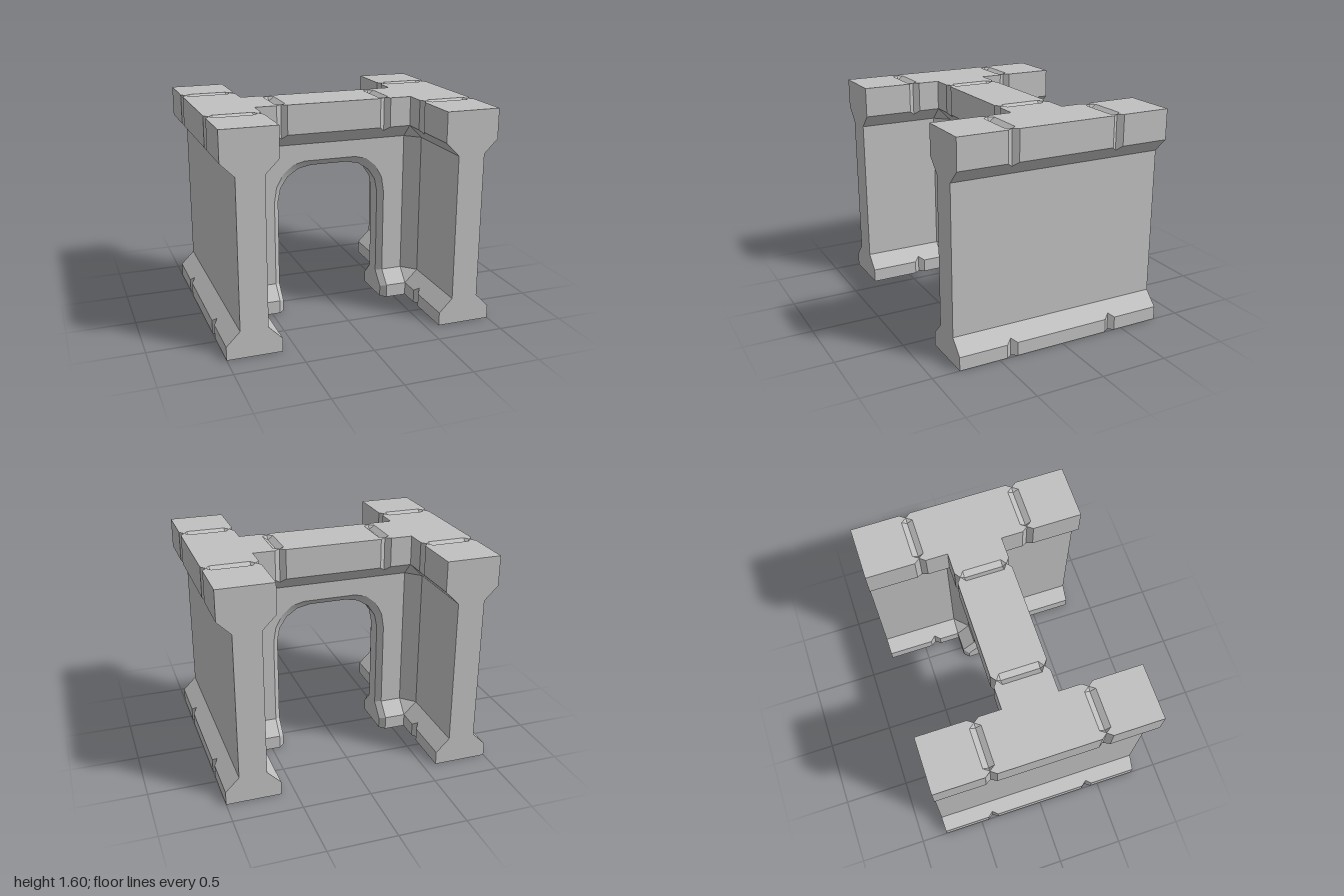
import * as THREE from 'three';
import { toCreasedNormals } from 'three/addons/utils/BufferGeometryUtils.js';

const V = (x, y, z) => new THREE.Vector3(x, y, z);
const NOTCH = 0.03, HALF = 0.04; // depth and half width of the V joints

export function createModel() {
  const group = new THREE.Group();
  const stone = new THREE.MeshStandardMaterial({ color: 0xc0c0c0, side: THREE.DoubleSide });
  stone.name = 'stone grey';

  // Each part is made for the +x +z quarter and mirrored to the other three
  function part(name, build) {
    const pos = [];
    const tri = (a, b, c, facing) => {
      const n = b.clone().sub(a).cross(c.clone().sub(a));
      if (n.length() < 1e-9) return;
      if (facing && n.dot(facing) < 0) [b, c] = [c, b];
      for (const sx of [1, -1]) for (const sz of [1, -1]) {
        const order = sx * sz > 0 ? [a, b, c] : [a, c, b];
        for (const p of order) pos.push(p.x * sx, p.y, p.z * sz);
      }
    };
    const quad = (a, b, c, d, facing) => { tri(a, b, c, facing); tri(a, c, d, facing); };
    const flat = (outline, holes, place, facing) => {
      const to2 = (l) => l.map(([x, y]) => new THREE.Vector2(x, y));
      let contour = to2(outline);
      if (THREE.ShapeUtils.isClockWise(contour)) contour.reverse();
      const cut = holes.map((h) => {
        const l = to2(h);
        return THREE.ShapeUtils.isClockWise(l) ? l : l.reverse();
      });
      const all = [contour, ...cut].flat().map((p) => place(p.x, p.y));
      for (const [i, j, k] of THREE.ShapeUtils.triangulateShape(contour, cut)) tri(all[i], all[j], all[k], facing);
    };
    build({ tri, quad, flat });
    const geo = new THREE.BufferGeometry();
    geo.setAttribute('position', new THREE.Float32BufferAttribute(pos, 3));
    const mesh = new THREE.Mesh(toCreasedNormals(geo, 0.5), stone);
    mesh.name = name;
    group.add(mesh);
  }

  // Upright profile: plinth, slope, recessed panel, slope, top band.
  // (dx, dz) points into the wall, d is the notch depth.
  const column = (x, z, dx, dz, d = 0) =>
    [[d, 0], [d, 0.1 + d], [0.1, 0.2], [0.1, 1.28], [0.1 - (0.1 - d), 1.38 - d], [d, 1.6]]
      .map(([i, y]) => V(x + dx * i, y, z + dz * i));
  const strip = (quad, cols, rows) => {
    for (let c = 0; c + 1 < cols.length; c++)
      for (const r of rows) quad(cols[c][r], cols[c + 1][r], cols[c + 1][r + 1], cols[c][r + 1]);
  };

  // Two long side walls with V joints, end caps and inner corner chamfers
  part('sideWalls', ({ quad }) => {
    const a = 0.4 - HALF, b = 0.4 + HALF;
    strip(quad, [
      column(0.6, 0.2, 0, -1), column(0.6, 0.2, 1, 0),
      column(0.6, a, 1, 0), column(0.6, 0.4, 1, 0, NOTCH), column(0.6, b, 1, 0), column(0.6, 0.8, 1, 0),
      column(1, 0.8, -1, 0),
      column(1, b, -1, 0), column(1, 0.4, -1, 0, NOTCH), column(1, a, -1, 0), column(1, 0, -1, 0),
    ], [0, 1, 2, 3, 4]);
  });

  // Arch outline from the floor to the crown: half width, corner centre, radii
  const arch = (w, cx, cy, rx, ry, z, base) => {
    const pts = [...base.map(([y, bz]) => V(w, y, bz))];
    for (let i = 0; i <= 4; i++) {
      const t = (i / 4) * Math.PI / 2;
      pts.push(V(cx + rx * Math.cos(t), cy + ry * Math.sin(t), z));
    }
    pts.push(V(0, cy + ry, z));
    return pts;
  };
  const outer = arch(0.44, 0.2, 0.85, 0.24, 0.3, 0.1, [[0, 0.2], [0.1, 0.2], [0.2, 0.1]]);
  const inner = arch(0.4, 0.14, 0.845, 0.26, 0.26, 0.06, [[0, 0.16], [0.083, 0.16], [0.183, 0.06]]);

  // Cross wall: top band with V joint, plinth stub and arched panel
  part('crossWall', ({ quad, flat }) => {
    const col = (x, d) => column(x, 0.2, 0, -1, d);
    strip(quad, [col(0), col(0.4 - HALF), col(0.4, NOTCH), col(0.4 + HALF), col(0.6)], [3, 4]);
    strip(quad, [col(0.44), col(0.6)], [0, 1]);
    flat([[0.6, 0.2], [0.6, 1.28], [0, 1.28], ...outer.slice(2).reverse().map((p) => [p.x, p.y])],
      [], (x, y) => V(x, y, 0.1), V(0, 0, 1));
  });

  // Bevel and soffit of the archway
  part('archway', ({ quad }) => {
    const middle = inner.map((p) => V(p.x, p.y, 0));
    for (const [p, q] of [[outer, inner], [inner, middle]])
      for (let i = 0; i + 1 < p.length; i++) {
        const inward = V(-p[i].x, 0.6 - p[i].y, 0);
        if (i < 4) inward.y = 0;
        quad(p[i], p[i + 1], q[i + 1], q[i], inward);
      }
  });

  // Top surface, cut by the V joints
  const L = 0.14, tip = 0.168, up = V(0, 1, 0);
  part('topSurface', ({ flat }) => {
    const a = 0.4 - HALF, b = 0.4 + HALF;
    flat([
      [0, 0], [a, 0], [a, L], [0.4, tip], [b, L], [b, 0], [1, 0],
      [1, a], [1 - NOTCH, 0.4], [1, b], [1, 0.8], [0.6, 0.8],
      [0.6, b], [0.6 + NOTCH, 0.4], [0.6, a], [0.6, 0.2],
      [b, 0.2], [0.4, 0.2 - NOTCH], [a, 0.2], [0, 0.2],
    ], [[[0.8 - L, a], [0.8 + L, a], [0.8 + tip, 0.4], [0.8 + L, b], [0.8 - L, b], [0.8 - tip, 0.4]]],
    (x, z) => V(x, 1.6, z), up);
  });

  // Pointed V grooves in the top surface
  part('topGrooves', ({ tri, quad }) => {
    const half = (at) => {
      for (const v of [HALF, -HALF]) {
        quad(at(0, v, 0), at(L, v, 0), at(L, 0, NOTCH), at(0, 0, NOTCH), up);
        tri(at(L, v, 0), at(tip, 0, 0), at(L, 0, NOTCH), up);
      }
    };
    for (const s of [1, -1]) half((u, v, d) => V(0.8 + s * u, 1.6 - d, 0.4 + v));
    half((u, v, d) => V(0.4 + v, 1.6 - d, u));
  });

  return group;
}
